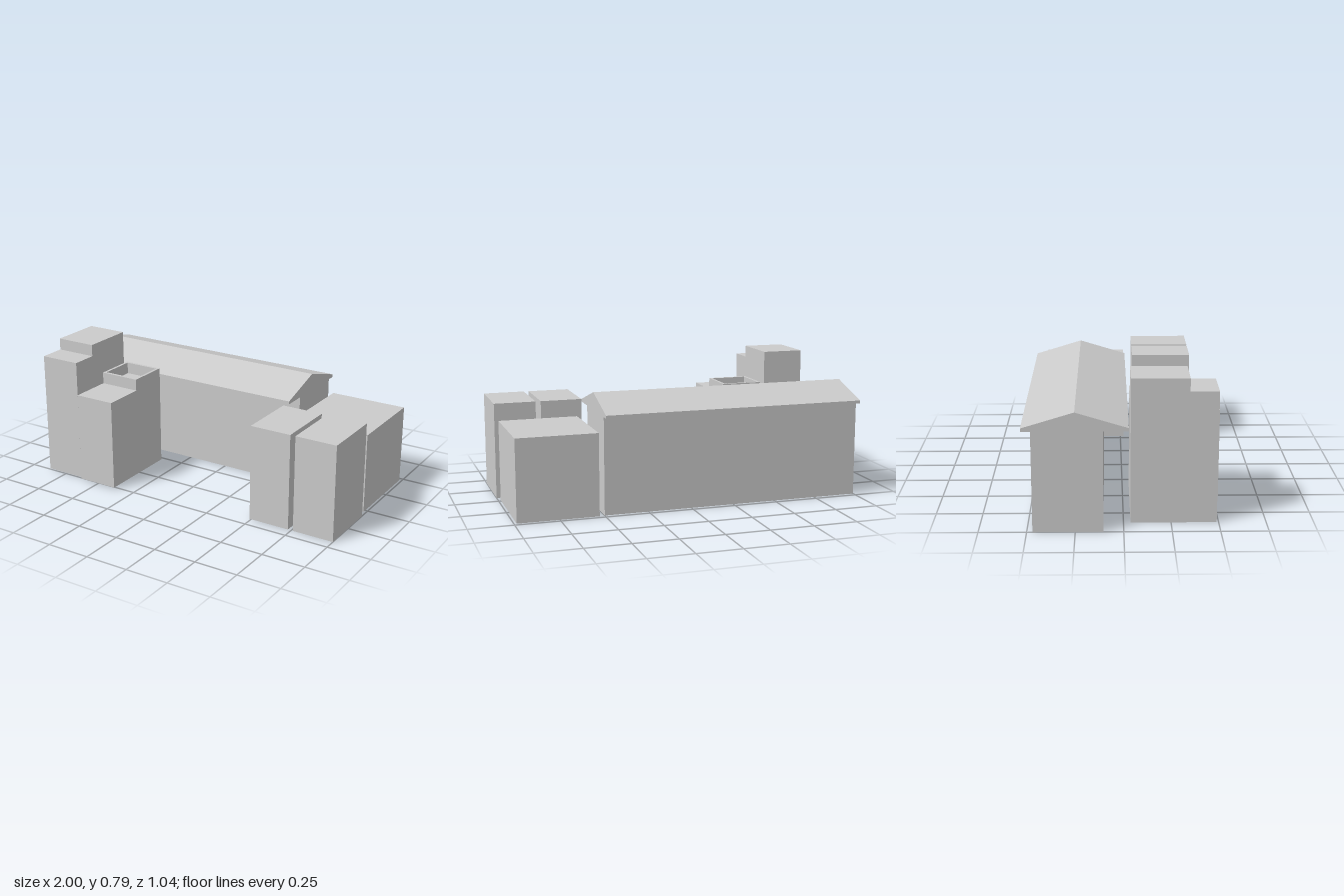
import * as THREE from 'three';

const grey = new THREE.MeshStandardMaterial({ color: 0xcccccc, flatShading: true });
const greySheet = new THREE.MeshStandardMaterial({ color: 0xcccccc, flatShading: true, side: THREE.DoubleSide });

// Box given by its extents along each axis
function block(name, [x0, x1], [y0, y1], [z0, z1]) {
  const mesh = new THREE.Mesh(new THREE.BoxGeometry(x1 - x0, y1 - y0, z1 - z0), grey);
  mesh.name = name;
  mesh.position.set((x0 + x1) / 2, (y0 + y1) / 2, (z0 + z1) / 2);
  return mesh;
}

// Thin upright wall centred at a point, turned about y
function sheet(name, width, height, x, z, turn) {
  const mesh = new THREE.Mesh(new THREE.PlaneGeometry(width, height), greySheet);
  mesh.name = name;
  mesh.position.set(x, height / 2, z);
  mesh.rotation.y = turn;
  return mesh;
}

// Side profile in (z, y), extruded along x
function profileAlongX(name, points, x0, x1) {
  const shape = new THREE.Shape(points.map(([z, y]) => new THREE.Vector2(-z, y)));
  const geometry = new THREE.ExtrudeGeometry(shape, { depth: x1 - x0, bevelEnabled: false });
  geometry.rotateY(Math.PI / 2).translate(x0, 0, 0);
  const mesh = new THREE.Mesh(geometry, grey);
  mesh.name = name;
  return mesh;
}

export function createModel() {
  const model = new THREE.Group();
  model.name = 'buildingComplex';

  // Long hall: solid ends, two bays open underneath between them
  const hall = new THREE.Group();
  hall.name = 'longHall';
  const front = -0.105, back = -0.47, eaves = 0.545;
  hall.add(
    block('hallEastEnd', [0.2, 0.5], [0, eaves], [back, front]),
    block('hallWestEnd', [-1, -0.4], [0, eaves], [back, front]),
    sheet('hallFrontWall', 0.6, eaves, -0.1, front, 0),
    sheet('hallBackWall', 0.6, eaves, -0.1, back, Math.PI),
    sheet('hallPartition', front - back, eaves, -0.1, (front + back) / 2, Math.PI / 2),
    profileAlongX('gableRoof',
      [[0.025, eaves], [0.025, 0.562], [-0.248, 0.645], [-0.52, 0.562], [-0.52, eaves]], -1, 0.5)
  );
  model.add(hall);

  // Tall stepped tower
  model.add(profileAlongX('tallTower',
    [[0.49, 0], [0.49, 0.717], [0.34, 0.717], [0.34, 0.785], [0.037, 0.785], [0.037, 0]], -0.88, -0.64));

  // Low tower with a parapet around its raised rear roof
  const low = new THREE.Group();
  low.name = 'lowTower';
  low.add(block('lowTowerBody', [-0.615, -0.375], [0.008, 0.535], [0.037, 0.52]));
  const rim = new THREE.Shape([[-0.615, -0.277], [-0.375, -0.277], [-0.375, -0.037], [-0.615, -0.037]]
    .map(([x, y]) => new THREE.Vector2(x, y)));
  rim.holes.push(new THREE.Path([[-0.6, -0.26], [-0.6, -0.053], [-0.39, -0.053], [-0.39, -0.26]]
    .map(([x, y]) => new THREE.Vector2(x, y))));
  const parapet = new THREE.Mesh(
    new THREE.ExtrudeGeometry(rim, { depth: 0.067, bevelEnabled: false }).rotateX(-Math.PI / 2), grey);
  parapet.name = 'parapet';
  parapet.position.y = 0.535;
  low.add(parapet);
  model.add(low);

  // East wing: rear block and a pair of front blocks
  model.add(block('rearBlock', [0.53, 0.985], [0, 0.462], [-0.477, 0.022]));
  for (const x of [0.49, 0.76]) {
    model.add(block('frontBlock', [x, x + 0.24], [0, 0.552], [0.073, 0.433]));
  }

  return model;
}
